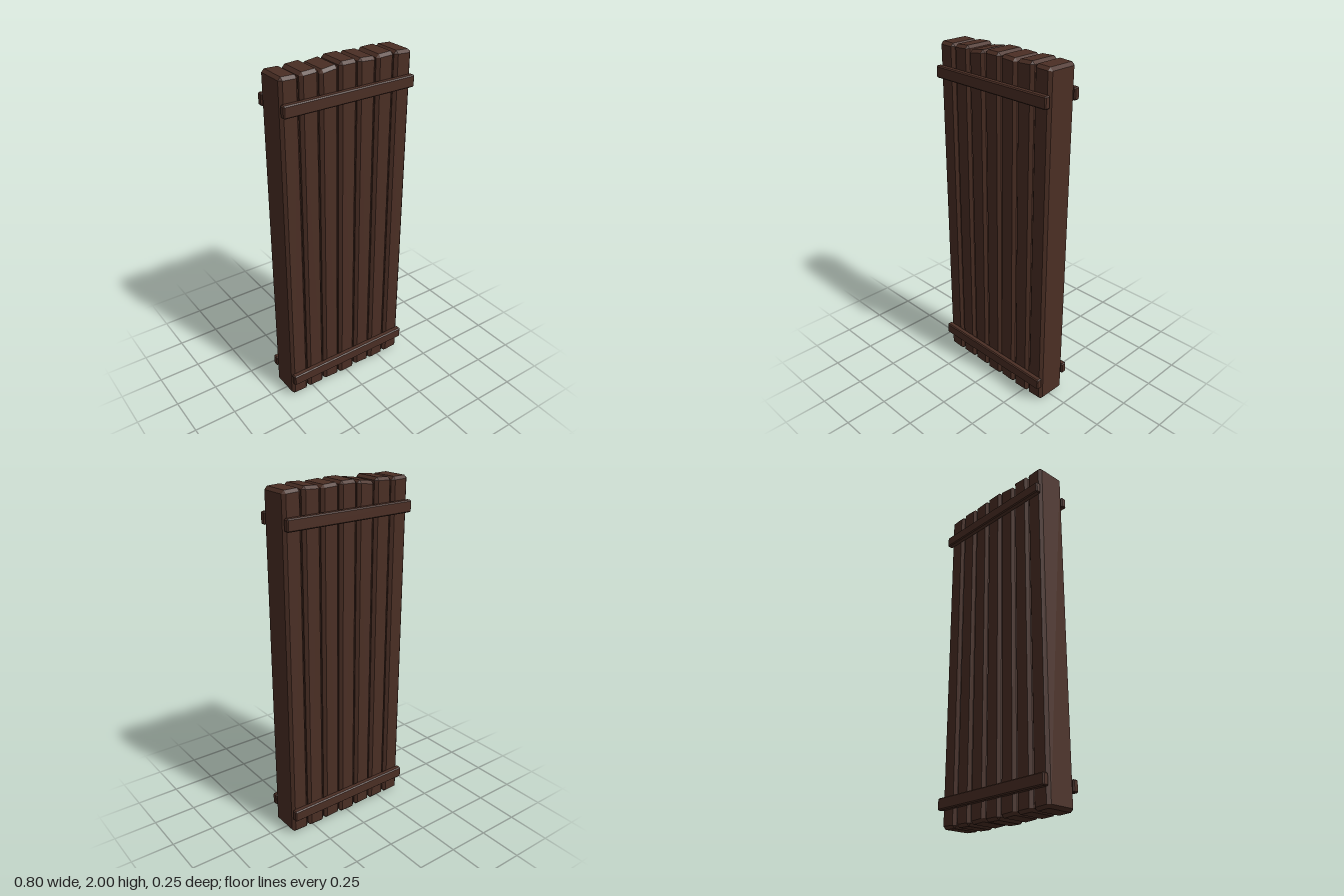
import * as THREE from 'three';
import { ConvexGeometry } from 'three/addons/geometries/ConvexGeometry.js';

// Box with every edge cut at 45 degrees; shape(p) may then move each corner.
function chamferedBox(w, h, d, c, shape = () => {}) {
  const half = [w / 2, h / 2, d / 2];
  const points = [];
  for (const sx of [-1, 1]) for (const sy of [-1, 1]) for (const sz of [-1, 1]) {
    for (let axis = 0; axis < 3; axis++) {
      const [x, y, z] = half.map((v, i) => (i === axis ? v : v - c));
      const p = new THREE.Vector3(sx * x, sy * y, sz * z);
      shape(p);
      points.push(p);
    }
  }
  return new ConvexGeometry(points);
}

export function createModel() {
  const model = new THREE.Group();
  model.name = 'plankPanel';
  const wood = new THREE.MeshStandardMaterial({ color: 0x4a2e24 });
  wood.name = 'dark brown wood';

  function add(name, geometry, x, y, z) {
    const mesh = new THREE.Mesh(geometry, wood);
    mesh.name = name;
    mesh.position.set(x, y, z);
    model.add(mesh);
  }

  // Upright planks: bottom, top, and sideways slope of the sawn ends
  const planks = [
    [0.008, 1.988, -0.02, -0.04],
    [0.008, 1.993, 0.06, -0.03],
    [0.008, 1.987, 0.13, -0.05],
    [0.002, 2.0, 0.0, 0.02],
    [0.008, 1.995, -0.05, -0.05],
    [0.004, 1.997, 0.04, 0.03],
    [0.008, 1.992, -0.05, 0.05],
  ];
  planks.forEach(([bottom, top, topSlope, bottomSlope], i) => {
    const geometry = chamferedBox(0.108, top - bottom, 0.184, 0.016, (p) => {
      p.y += p.x * (p.y > 0 ? topSlope : bottomSlope);
    });
    add('plank' + (i + 1), geometry, (i - 3) * 0.1147, (top + bottom) / 2, 0);
  });

  // Cross battens, top and bottom, on both faces
  for (const [level, y] of [['lower', 0.141], ['upper', 1.828]]) {
    for (const [side, z] of [['Front', 0.105], ['Back', -0.108]]) {
      add(level + side + 'Batten', chamferedBox(0.798, 0.066, 0.035, 0.006), 0, y, z);
    }
  }

  return model;
}
